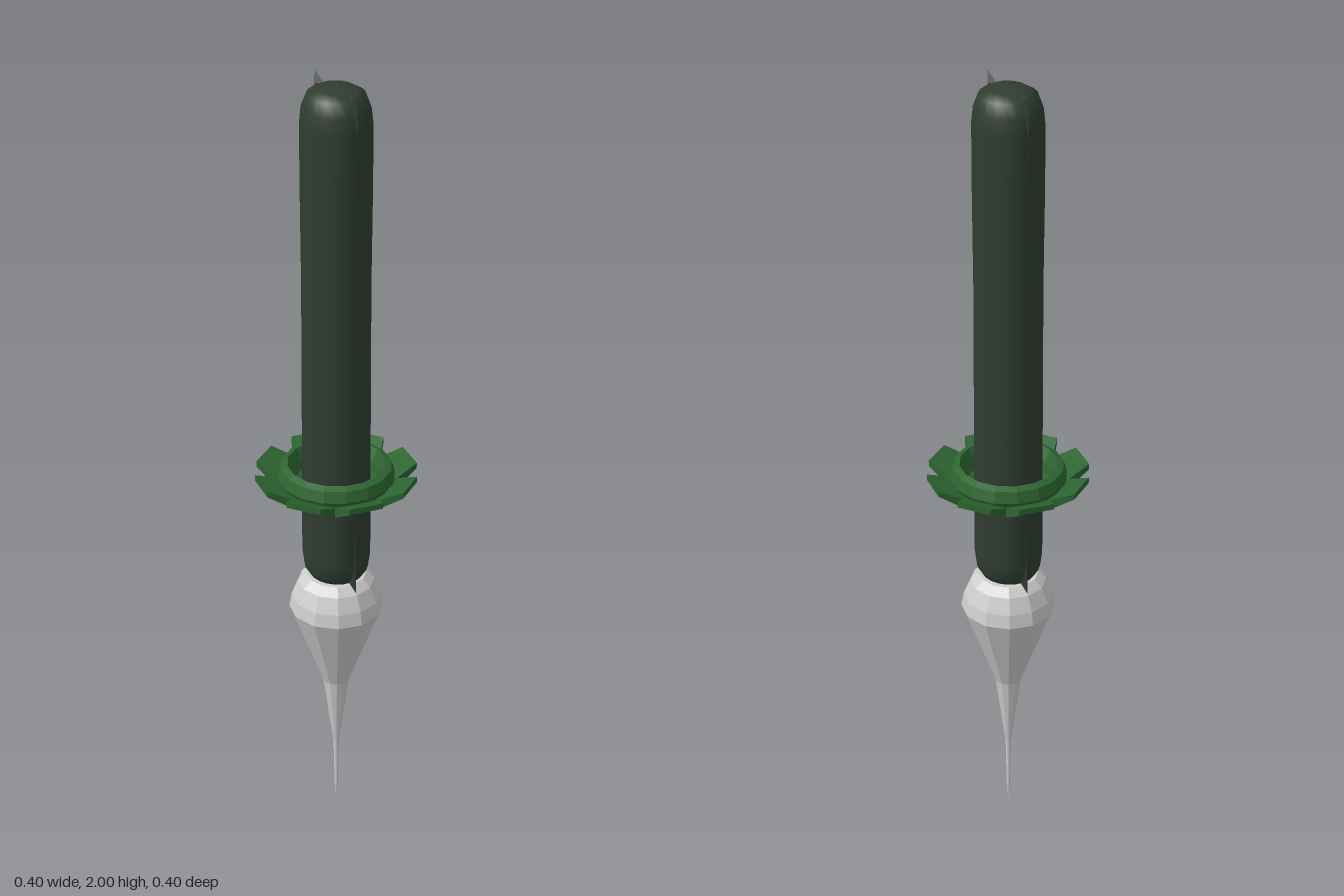
import * as THREE from 'three';
import { ConvexGeometry } from 'three/addons/geometries/ConvexGeometry.js';

const flat = (name, color) => {
  const m = new THREE.MeshStandardMaterial({ color, flatShading: true });
  m.name = name;
  return m;
};
const v3 = (p) => new THREE.Vector3(...p);
const lathe = (points, sides) =>
  new THREE.LatheGeometry(points.map(([r, y]) => new THREE.Vector2(r, y)), sides);

// Sloping leaf: widest where it meets its neighbours, narrower at the blunt tip
function petalGeometry() {
  const g = new THREE.BoxGeometry(2, 2, 2, 1, 1, 2);
  const radius = [0.08, 0.137, 0.195];
  const halfWidth = [0.033, 0.057, 0.044];
  const top = [0.95, 0.976, 1.0];
  const bottom = [0.928, 0.95, 0.985];
  const p = g.attributes.position;
  for (let i = 0; i < p.count; i++) {
    const k = Math.round(p.getZ(i)) + 1;
    p.setXYZ(i, p.getX(i) * halfWidth[k], p.getY(i) > 0 ? top[k] : bottom[k], radius[k]);
  }
  g.computeVertexNormals();
  return g;
}

export function createModel() {
  const model = new THREE.Group();
  model.name = 'greenSpike';
  const shaftGreen = new THREE.MeshStandardMaterial({ color: 0x2f3d30 });
  shaftGreen.name = 'dark stem green';
  const thornGreen = shaftGreen;
  const leafGreen = flat('leaf green', 0x2c6530);
  const paleGrey = flat('pale grey', 0xcecece);

  const add = (name, geometry, material, parent = model) => {
    const mesh = new THREE.Mesh(geometry, material);
    mesh.name = name;
    parent.add(mesh);
    return mesh;
  };

  // Pointed bulb at the foot
  add('bulb', lathe([
    [0, 0], [0.004, 0.05], [0.007, 0.19], [0.033, 0.385], [0.118, 0.61],
    [0.112, 0.645], [0.095, 0.685], [0.075, 0.705], [0, 0.705],
  ], 12), paleGrey);

  // Long shaft with rounded ends, slightly deeper than wide
  const shaft = add('shaft', lathe([
    [0, 0.7], [0.045, 0.702], [0.066, 0.71], [0.078, 0.73], [0.083, 0.77],
    [0.082, 1.1], [0.081, 1.5], [0.083, 1.75], [0.083, 1.9], [0.079, 1.94],
    [0.067, 1.972], [0.045, 1.985], [0, 1.99],
  ], 20), shaftGreen);
  shaft.scale.z = 1.06;

  // Thorn ridges at both ends, front and back
  const thorns = new THREE.Group();
  thorns.name = 'thorns';
  model.add(thorns);
  const mid = 1.345;
  for (const sy of [1, -1]) {
    for (const sz of [1, -1]) {
      const points = [
        [0, 2.0, 0.09], [0, 1.84, 0.0885], [0, 1.978, 0.045],
        [0.01, 1.975, 0.074], [-0.01, 1.975, 0.074],
        [0.009, 1.88, 0.08], [-0.009, 1.88, 0.08],
      ].map(([x, y, z]) => v3([x, mid + sy * (y - mid), sz * z]));
      add('thorn', new ConvexGeometry(points), thornGreen, thorns);
    }
  }

  // Cupped collar around the shaft
  const collar = new THREE.Group();
  collar.name = 'collar';
  model.add(collar);
  add('collarRing', lathe([
    [0.08, 0.94], [0.1, 0.932], [0.135, 0.96], [0.145, 0.985], [0.137, 1.013],
    [0.12, 1.02], [0.105, 0.99], [0.1, 0.97], [0.08, 0.96],
  ], 16), leafGreen, collar);

  // Eight blunt leaves fanning out from the collar
  const petal = petalGeometry();
  for (let i = 0; i < 8; i++) {
    add('petal', petal, leafGreen, collar).rotation.y = -Math.PI / 16 + (i * Math.PI) / 4;
  }
  return model;
}
